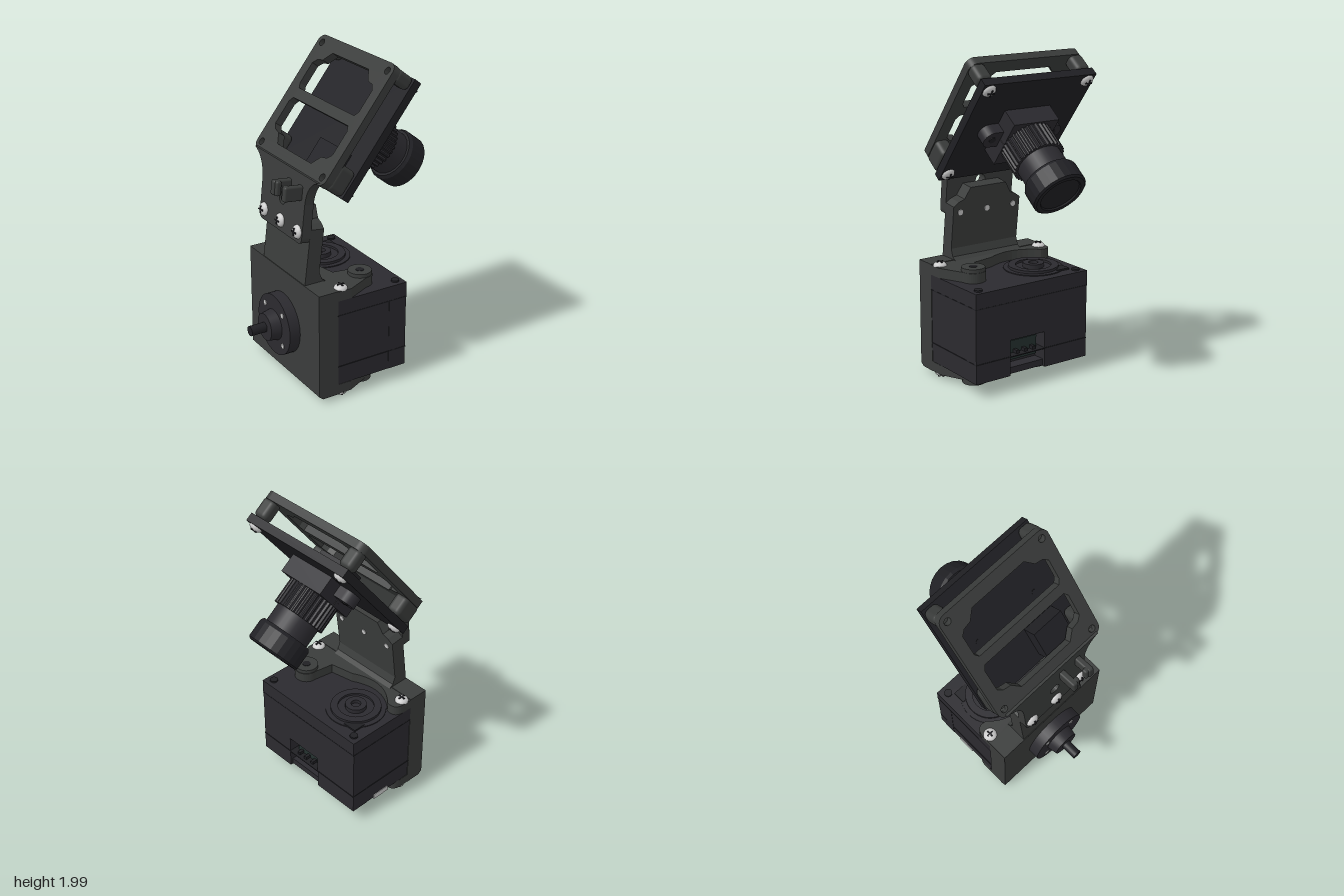
import * as THREE from 'three';
import { RoundedBoxGeometry } from 'three/addons/geometries/RoundedBoxGeometry.js';

const mat = (c) => new THREE.MeshStandardMaterial({ color: c });
const bracketMat = mat(0x3a3c3b), motorMat = mat(0x2b2a2f), blackMat = mat(0x202024), steelMat = mat(0xcccccc), greenMat = mat(0x24312f);

function add(parent, name, geo, material, x = 0, y = 0, z = 0) {
  const m = new THREE.Mesh(geo, material);
  m.name = name;
  m.position.set(x, y, z);
  parent.add(m);
  return m;
}
const box = (x, y, z) => new THREE.BoxGeometry(x, y, z);
// Cylinders along y and along x
const cylY = (r, h, n = 32, r2 = r) => new THREE.CylinderGeometry(r, r2, h, n);
const cylX = (r, h, n = 32, r2 = r) => new THREE.CylinderGeometry(r, r2, h, n).rotateZ(-Math.PI / 2);
const poly = (pts) => new THREE.Shape(pts.map((p) => new THREE.Vector2(...p)));
const extrude = (shape, depth) => new THREE.ExtrudeGeometry(shape, { depth, bevelEnabled: false, curveSegments: 10 });
// Shape drawn in (-z, y), thickness along +x
const slabX = (shape, depth) => extrude(shape, depth).rotateY(Math.PI / 2);
// Shape drawn in (x, z), thickness downward
const slabY = (shape, depth) => extrude(shape, depth).rotateX(Math.PI / 2);
const circleHole = (x, y, r) => new THREE.Path().absarc(x, y, r, 0, Math.PI * 2, true);

// Domed cross-head screw, head pointing along +y
function screw(parent, x, y, z, r = 0.042) {
  const g = new THREE.Group();
  g.name = 'screw';
  add(g, 'screwHead', new THREE.SphereGeometry(r, 20, 8, 0, Math.PI * 2, 0, Math.PI / 2).scale(1, 0.65, 1), steelMat);
  for (const a of [0, Math.PI / 2]) add(g, 'screwSlot', box(r * 1.1, 0.006, r * 0.22).rotateY(a), blackMat, 0, r * 0.62, 0);
  g.position.set(x, y, z);
  parent.add(g);
  return g;
}

function buildMotor(root) {
  const g = new THREE.Group();
  g.name = 'motor';
  add(g, 'motorTopCap', box(0.48, 0.093, 0.82), motorMat, 0, 0.6035, 0);
  add(g, 'motorCore', box(0.38, 0.46, 0.816), motorMat, -0.048, 0.325, 0);
  // Front slab with the socket opening
  const face = poly([[-0.41, 0.095], [-0.165, 0.095], [-0.165, 0.32], [0.09, 0.32], [0.09, 0.095], [0.41, 0.095], [0.41, 0.555], [-0.41, 0.555]]);
  add(g, 'motorFace', slabX(face, 0.12), motorMat, 0.118, 0, 0);
  add(g, 'motorSill', box(0.08, 0.04, 0.255), motorMat, 0.18, 0.12, 0.0375);
  add(g, 'socket', box(0.05, 0.12, 0.2), greenMat, 0.165, 0.235, 0.0375);
  for (const z of [-0.02, 0.04, 0.1]) add(g, 'socketPin', box(0.05, 0.02, 0.02), blackMat, 0.2, 0.23, z);
  for (const y of [0.215, 0.555]) add(g, 'seam', box(0.483, 0.006, 0.823), blackMat, 0, y, 0);
  add(g, 'metalTab', box(0.12, 0.035, 0.03), steelMat, 0, 0.1, -0.397);
  // Output horn and idler on the same axis
  const ring = [[0.001, 0.012], [0.03, 0.012], [0.03, 0.035], [0.065, 0.035], [0.065, 0.008], [0.11, 0.008], [0.11, 0.022], [0.155, 0.022], [0.155, 0.006], [0.185, 0.006], [0.185, 0]];
  const lathe = () => new THREE.LatheGeometry(ring.map((p) => new THREE.Vector2(...p)).reverse(), 40).toNonIndexed();
  for (const s of [1, -1]) {
    const geo = lathe();
    geo.computeVertexNormals();
    const horn = add(g, 'horn', geo, motorMat, 0, s > 0 ? 0.65 : 0.095, -0.18);
    if (s < 0) horn.rotation.x = Math.PI;
    for (const z of [-0.36, 0.36]) add(g, 'caseScrew', cylY(0.025, 0.02, 16), blackMat, 0.19, s > 0 ? 0.65 : 0.095, z);
  }
  add(g, 'idlerCap', cylY(0.08, 0.045), motorMat, 0, 0.05, -0.18);
  add(g, 'topKey', box(0.08, 0.03, 0.09), blackMat, 0.12, 0.645, -0.29);
  root.add(g);
}

function buildLowerBracket(root) {
  const g = new THREE.Group();
  g.name = 'lowerBracket';
  // Back plate with chamfered lower edge
  const side = poly([[-0.37, 0.05], [-0.345, 0.03], [-0.24, 0.03], [-0.24, 0.715], [-0.37, 0.715]]);
  add(g, 'backPlate', extrude(side, 0.82), bracketMat, 0, 0, -0.41);
  // Top and bottom flanges with a round bay for the horn and an arm to the boss
  const flange = new THREE.Shape();
  flange.moveTo(-0.25, -0.41);
  flange.lineTo(-0.17, -0.41);
  flange.quadraticCurveTo(-0.1, -0.4, -0.12, -0.33);
  flange.quadraticCurveTo(-0.27, -0.18, -0.16, 0.02);
  flange.lineTo(-0.13, 0.17);
  flange.lineTo(-0.01, 0.19);
  flange.absarc(0, 0.265, 0.075, -Math.PI / 2, Math.PI / 2, false);
  flange.lineTo(-0.15, 0.41);
  flange.lineTo(-0.25, 0.41);
  flange.closePath();
  for (const s of [1, -1]) {
    add(g, 'flange', slabY(flange, 0.062), bracketMat, 0, s > 0 ? 0.712 : 0.095, 0);
    add(g, 'boss', cylY(0.072, 0.085), bracketMat, 0, s > 0 ? 0.693 : 0.05, 0.265);
    add(g, 'bossHole', cylY(0.025, 0.004, 16), blackMat, 0, s > 0 ? 0.736 : 0.007, 0.265);
    for (const z of [-0.37, 0.37]) {
      const sc = screw(g, -0.2, s > 0 ? 0.71 : 0.032, z);
      if (s < 0) sc.rotation.x = Math.PI;
    }
  }
  // Leaning neck with shoulders and three holes
  const neck = poly([[-0.245, -0.03], [0.245, -0.03], [0.245, 0.34], [0.21, 0.365], [0.17, 0.38], [0.13, 0.45], [-0.13, 0.45], [-0.17, 0.38], [-0.21, 0.365], [-0.245, 0.34]]);
  const n = add(g, 'neck', slabX(neck, 0.09), bracketMat, -0.365, 0.72, 0);
  n.rotation.z = -0.125;
  for (const z of [-0.195, 0, 0.195]) add(n, 'screwTip', cylX(0.018, 0.01, 16), steelMat, 0.09, 0.3, z);
  const foot = poly([[-0.3, 0.71], [-0.22, 0.71], [-0.25, 0.73], [-0.268, 0.78], [-0.3, 0.78]]);
  add(g, 'neckFillet', extrude(foot, 0.49), bracketMat, 0, 0, -0.245);
  root.add(g);
}

function buildRearShaft(root) {
  const g = new THREE.Group();
  g.name = 'rearShaft';
  add(g, 'disc', cylX(0.193, 0.075, 40), motorMat, -0.402, 0.372, 0);
  add(g, 'hub', cylX(0.098, 0.068, 32, 0.085), motorMat, -0.47, 0.372, 0);
  add(g, 'shaft', cylX(0.031, 0.13, 24), blackMat, -0.54, 0.372, 0);
  for (let i = 0; i < 4; i++) {
    const a = (i * Math.PI) / 2 + Math.PI / 4;
    add(g, 'discScrew', cylX(0.017, 0.006, 12), steelMat, -0.441, 0.372 + 0.145 * Math.sin(a), 0.145 * Math.cos(a));
  }
  root.add(g);
}

function buildUpperBracket(root) {
  const g = new THREE.Group();
  g.name = 'upperBracket';
  g.position.set(-0.388, 0.98, 0);
  g.rotation.z = -0.11;
  // Plate flaring out to the camera frame
  const s = new THREE.Shape();
  s.moveTo(-0.21, 0);
  s.lineTo(0.21, 0);
  s.quadraticCurveTo(0.245, 0, 0.245, 0.04);
  s.lineTo(0.245, 0.24);
  s.quadraticCurveTo(0.25, 0.37, 0.36, 0.41);
  s.lineTo(-0.36, 0.41);
  s.quadraticCurveTo(-0.25, 0.37, -0.245, 0.24);
  s.lineTo(-0.245, 0.04);
  s.quadraticCurveTo(-0.245, 0, -0.21, 0);
  s.holes.push(circleHole(0, 0.2, 0.035));
  add(g, 'plate', slabX(s, 0.06), bracketMat);
  for (const z of [-0.195, 0, 0.195]) screw(g, 0, 0.065, z).rotation.z = Math.PI / 2;
  // Two-pronged cable clip
  for (const [z, d] of [[0.065, 1], [0.19, -1]]) {
    add(g, 'clipPost', new RoundedBoxGeometry(0.14, 0.09, 0.04, 2, 0.012), bracketMat, -0.045, 0.3, z);
    add(g, 'clipLip', new RoundedBoxGeometry(0.035, 0.09, 0.055, 2, 0.012), bracketMat, -0.09, 0.3, z + d * 0.012);
  }
  root.add(g);
}

// Camera built with its lens along +x, then tilted down
function buildCamera(root) {
  const g = new THREE.Group();
  g.name = 'camera';
  g.position.set(-0.094, 1.685, 0);
  g.rotation.z = -0.663;
  const h = 0.395, r = 0.05;
  const frame = new THREE.Shape();
  [[h, h], [-h, h], [-h, -h], [h, -h]].forEach(([x, y], i) => {
    const a = (i * Math.PI) / 2;
    frame.absarc(x - Math.sign(x) * r, y - Math.sign(y) * r, r, a, a + Math.PI / 2, false);
  });
  // Two windows, stepped in around the corner holes
  for (const s of [1, -1]) {
    const inner = s > 0 ? 0.04 : 0.026;
    frame.holes.push(new THREE.Path([[-0.3, inner], [0.3, inner], [0.32, inner + 0.03], [0.32, 0.21], [0.29, 0.24], [0.24, 0.25], [0.19, 0.31], [-0.19, 0.31], [-0.24, 0.25], [-0.29, 0.24], [-0.32, 0.21], [-0.32, inner + 0.03]].map(([x, y]) => new THREE.Vector2(x, y * s))));
    for (const t of [1, -1]) frame.holes.push(circleHole(s * 0.345, t * 0.345, 0.022));
  }
  add(g, 'frame', slabX(frame, 0.05), bracketMat);
  // Standoffs and corner screws
  for (const z of [-0.345, 0.345]) {
    add(g, 'upperStandoff', new RoundedBoxGeometry(0.13, 0.085, 0.095, 3, 0.03), bracketMat, 0.1, 0.348, z);
    add(g, 'lowerStandoff', new RoundedBoxGeometry(0.13, 0.165, 0.095, 3, 0.03), bracketMat, 0.1, -0.308, z);
    for (const u of [-0.345, 0.345]) screw(g, 0.213, u, z).rotation.z = -Math.PI / 2;
  }
  add(g, 'circuitBoard', box(0.052, 0.785, 0.785), blackMat, 0.19, 0, 0);
  add(g, 'rearConnector', box(0.1, 0.2, 0.21), blackMat, 0.115, -0.25, 0.155);
  // Lens mount with screw ears
  add(g, 'lensMount', box(0.12, 0.33, 0.32), motorMat, 0.272, 0, 0);
  add(g, 'mountBar', box(0.07, 0.12, 0.43), motorMat, 0.25, 0, 0);
  for (const z of [-0.215, 0.215]) {
    add(g, 'mountEar', cylX(0.06, 0.07, 24), motorMat, 0.25, 0, z);
    add(g, 'earHole', cylX(0.022, 0.004, 16), blackMat, 0.286, 0, z);
    add(g, 'boardHole', cylX(0.016, 0.004, 16), blackMat, 0.163, 0, z);
  }
  // Ribbed focus ring, barrel and hood
  const ribs = 32, pts = [];
  for (let i = 0; i < ribs * 4; i++) {
    const a = (i / (ribs * 4)) * Math.PI * 2, rr = i % 4 < 2 ? 0.162 : 0.15;
    pts.push([rr * Math.cos(a), rr * Math.sin(a)]);
  }
  add(g, 'focusRing', slabX(poly(pts), 0.2), motorMat, 0.29, 0, 0);
  add(g, 'barrel', cylX(0.138, 0.14, 32), motorMat, 0.55, 0, 0);
  const hood = [[0, 0.735], [0.125, 0.735], [0.13, 0.745], [0.155, 0.745], [0.167, 0.735], [0.167, 0.625], [0.155, 0.605], [0, 0.605]];
  const hoodGeo = new THREE.LatheGeometry(hood.map((p) => new THREE.Vector2(...p)).reverse(), 24).rotateZ(-Math.PI / 2).toNonIndexed();
  hoodGeo.computeVertexNormals();
  add(g, 'lensHood', hoodGeo, blackMat);
  root.add(g);
}

export function createModel() {
  const root = new THREE.Group();
  root.name = 'tiltingCameraMount';
  buildMotor(root);
  buildLowerBracket(root);
  buildRearShaft(root);
  buildUpperBracket(root);
  buildCamera(root);
  return root;
}
